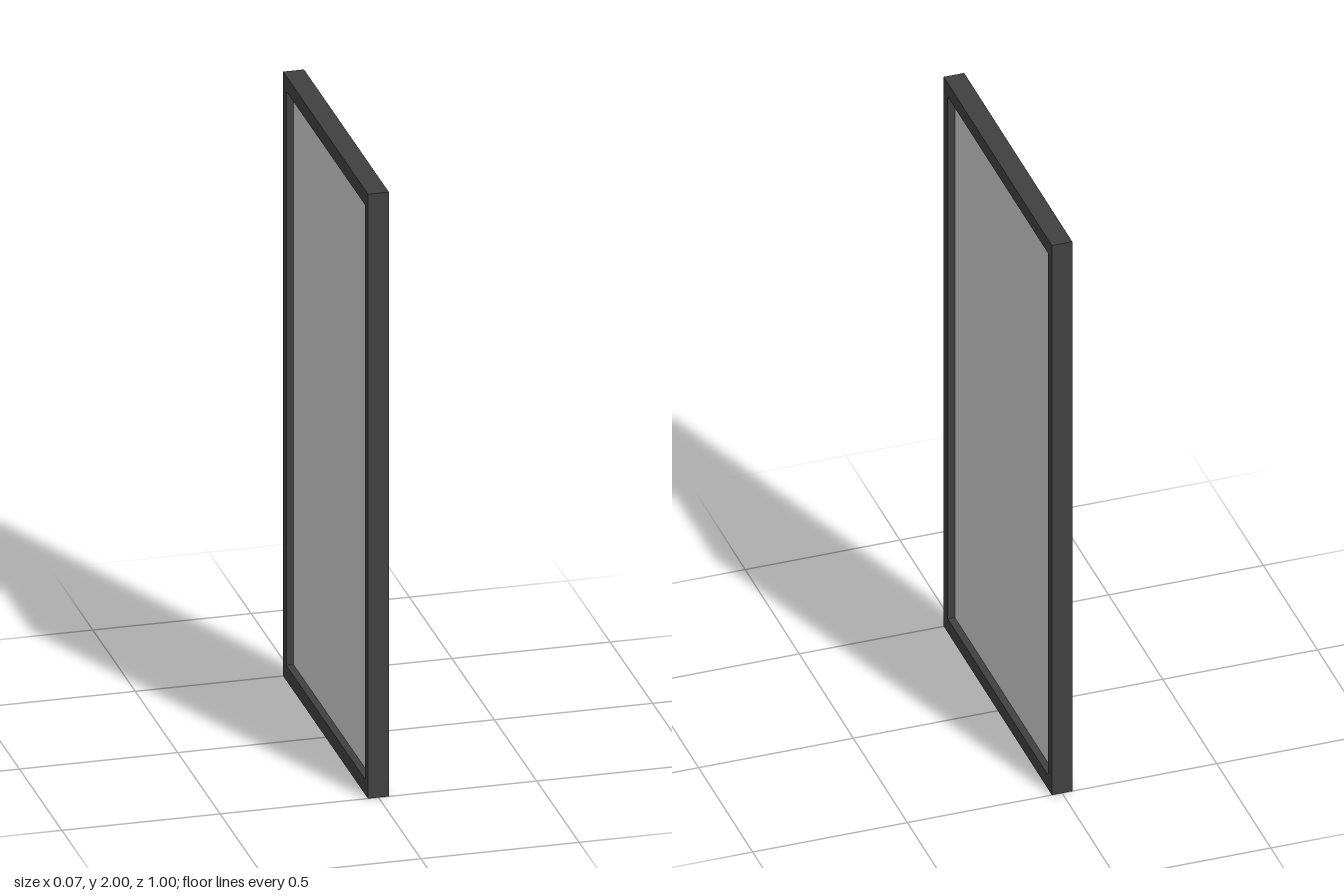
import * as THREE from 'three';

const HEIGHT = 2, WIDTH = 1, DEPTH = 0.066;
const STILE = 0.037, RAIL = 0.05; // widths of the side and top/bottom bars
const PANE = 0.02;

// Counter-clockwise rectangle centred on the origin
function rectangle(Type, w, h) {
  const path = new Type();
  path.moveTo(-w / 2, -h / 2);
  path.lineTo(w / 2, -h / 2);
  path.lineTo(w / 2, h / 2);
  path.lineTo(-w / 2, h / 2);
  path.closePath();
  return path;
}

export function createModel() {
  const group = new THREE.Group();
  group.name = 'framedPanel';
  const innerW = WIDTH - 2 * STILE, innerH = HEIGHT - 2 * RAIL;

  // Frame: outline with an opening, extruded through its depth along x
  const outline = rectangle(THREE.Shape, WIDTH, HEIGHT);
  outline.holes.push(rectangle(THREE.Path, innerW, innerH));
  const frameGeometry = new THREE.ExtrudeGeometry(outline, { depth: DEPTH, bevelEnabled: false });
  frameGeometry.translate(0, 0, -DEPTH / 2).rotateY(Math.PI / 2);
  const frame = new THREE.Mesh(frameGeometry, new THREE.MeshStandardMaterial({ color: 0x404040 }));
  frame.name = 'frame';
  frame.position.y = HEIGHT / 2;

  // Pane recessed equally from both faces
  const pane = new THREE.Mesh(
    new THREE.BoxGeometry(PANE, innerH, innerW),
    new THREE.MeshStandardMaterial({ color: 0xcccccc })
  );
  pane.name = 'pane';
  pane.position.y = HEIGHT / 2;

  group.add(frame, pane);
  return group;
}
